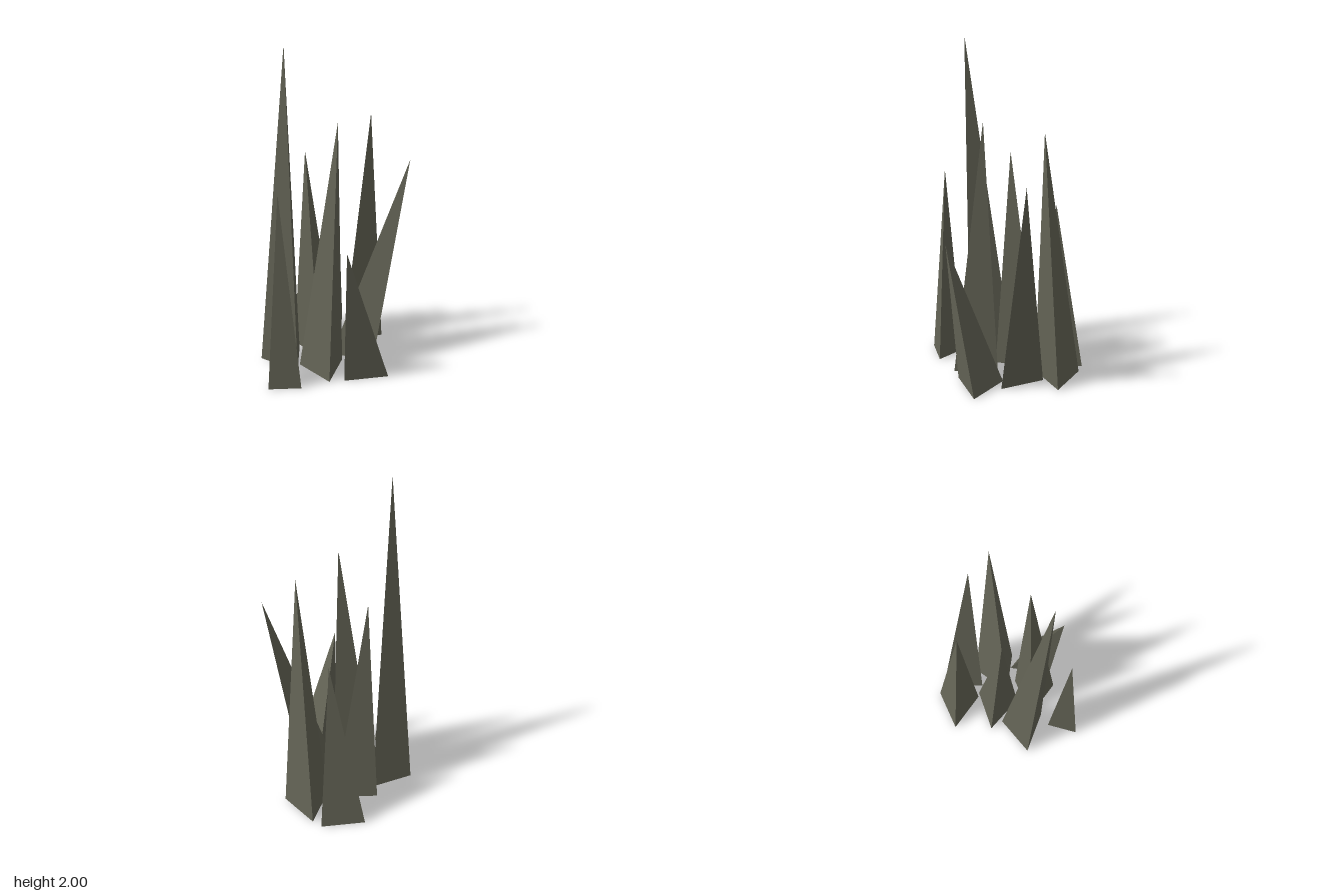
import * as THREE from 'three';

// Each spike: three ground corners [x, z] and a leaning tip [x, y, z]
const SPIKES = [
  { name: 'tallFrontSpike', base: [[-0.18, 0.045], [0.03, 0.215], [-0.222, 0.31]], tip: [0, 2, 0.26] },
  { name: 'smallFrontSpike', base: [[0.007, 0.298], [0.202, 0.314], [0.092, 0.475]], tip: [0.07, 1.2, 0.367] },
  { name: 'centreSpike', base: [[0.098, -0.08], [0.25, 0.141], [-0.017, 0.163]], tip: [0.136, 1.56, -0.003] },
  { name: 'innerRightSpike', base: [[-0.132, -0.21], [0.002, 0.022], [-0.265, 0.022]], tip: [-0.134, 1.33, 0.024] },
  { name: 'outerRightSpike', base: [[-0.31, -0.412], [-0.155, -0.195], [-0.42, -0.169]], tip: [-0.197, 1.05, -0.275] },
  { name: 'backSpike', base: [[0.018, -0.478], [-0.077, -0.228], [-0.246, -0.434]], tip: [0.017, 1.53, -0.348] },
  { name: 'backLeftSpike', base: [[0.228, -0.22], [0.003, -0.072], [-0.017, -0.338]], tip: [0.273, 1.29, -0.434] },
  { name: 'outerLeftSpike', base: [[0.15, -0.165], [0.419, -0.178], [0.295, 0.063]], tip: [0.35, 0.865, 0.098] },
];

// Closed three-sided spike with hard facets
function spikeGeometry(base, tip) {
  let [a, b, c] = base.map(([x, z]) => [x, 0, z]);
  // Order the corners so the sides face outward
  const turn = (b[2] - a[2]) * (c[0] - a[0]) - (b[0] - a[0]) * (c[2] - a[2]);
  if (turn < 0) [b, c] = [c, b];
  const corners = [a, b, tip, b, c, tip, c, a, tip, a, c, b].flat();
  const geometry = new THREE.BufferGeometry();
  geometry.setAttribute('position', new THREE.Float32BufferAttribute(corners, 3));
  geometry.computeVertexNormals();
  return geometry;
}

export function createModel() {
  const group = new THREE.Group();
  group.name = 'rockSpikes';
  const stone = new THREE.MeshStandardMaterial({ color: 0x646456 });
  stone.name = 'stone';

  for (const { name, base, tip } of SPIKES) {
    const spike = new THREE.Mesh(spikeGeometry(base, tip), stone);
    spike.name = name;
    group.add(spike);
  }
  return group;
}
